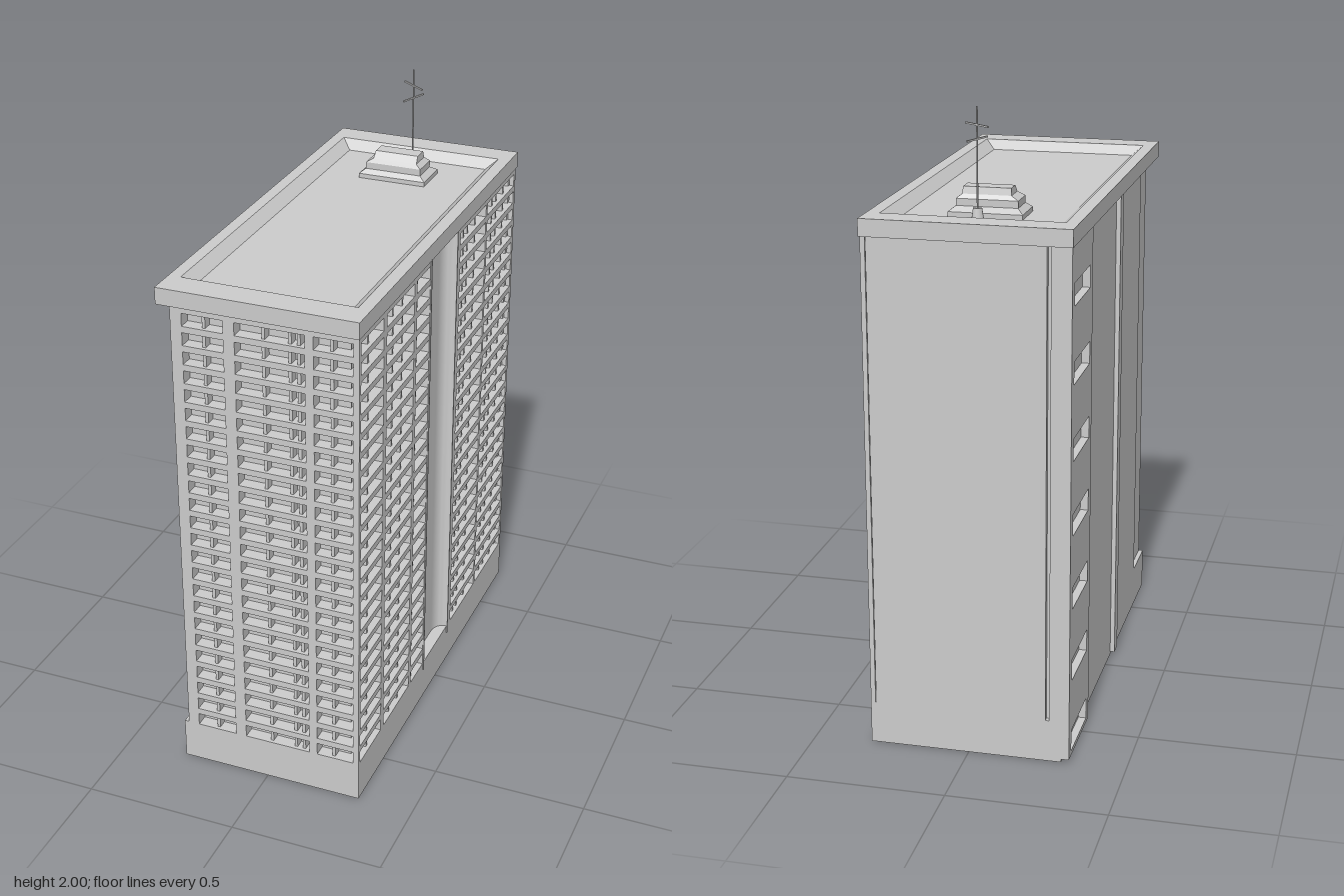
import * as THREE from 'three';
import { toCreasedNormals } from 'three/addons/utils/BufferGeometryUtils.js';

const material = new THREE.MeshStandardMaterial({ color: 0xcccccc });
const BASE = 0.137, TOP = 1.64, FLOORS = 24, PITCH = 0.0626, OPENING = 0.042;
const EAST = 0.317, FRONT = 0.722, BACK = -0.717, WEST = -0.295;

export function createModel() {
  const model = new THREE.Group();

  const add = (name, geometry, parent = model) => {
    const mesh = new THREE.Mesh(geometry, material);
    mesh.name = name;
    parent.add(mesh);
    return mesh;
  };
  // Box given by its limits on each axis
  const box = (name, x0, x1, y0, y1, z0, z1, parent) => {
    const g = new THREE.BoxGeometry(x1 - x0, y1 - y0, z1 - z0);
    g.translate((x0 + x1) / 2, (y0 + y1) / 2, (z0 + z1) / 2);
    return add(name, g, parent);
  };
  // Closed solid from stacked rectangles [x0, x1, z0, z1, y]
  const stack = (name, rings) => {
    const loops = rings.map(([x0, x1, z0, z1, y]) =>
      [[x0, y, z0], [x1, y, z0], [x1, y, z1], [x0, y, z1]]);
    const p = [];
    const quad = (a, b, c, d) => p.push(...a, ...b, ...c, ...a, ...c, ...d);
    for (let i = 0; i < loops.length - 1; i++) {
      const a = loops[i], b = loops[i + 1];
      for (let k = 0; k < 4; k++) {
        const n = (k + 1) % 4;
        quad(a[k], b[k], b[n], a[n]);
      }
    }
    const first = loops[0], last = loops[loops.length - 1];
    quad(first[0], first[1], first[2], first[3]);
    quad(last[3], last[2], last[1], last[0]);
    const g = new THREE.BufferGeometry();
    g.setAttribute('position', new THREE.Float32BufferAttribute(p, 3));
    g.computeVertexNormals();
    return add(name, g);
  };

  // Plinth, core and blank walls
  box('plinth', WEST, EAST, 0, BASE, BACK, FRONT);
  box('core', -0.275, 0.275, BASE, TOP, -0.7, 0.68);
  box('westWall', WEST, -0.27, BASE, TOP, -0.705, 0.535);
  box('westFrontWall', -0.28, -0.262, BASE, TOP, 0.535, FRONT);
  box('westRib', -0.31, WEST, 0.01, TOP, 0.086, 0.135);
  box('backWall', -0.245, 0.3, BASE, TOP, BACK, -0.69);
  box('backCornerPier', 0.302, EAST, BASE, TOP, BACK, -0.7);
  box('backWallEdge', WEST, -0.257, BASE, TOP, BACK, -0.69);

  // Balcony floors on both sides of the bay
  const floors = new THREE.Group();
  floors.name = 'balconyFloors';
  model.add(floors);
  for (let k = 1; k <= FLOORS; k++) {
    const y1 = k === FLOORS ? TOP : BASE + k * PITCH;
    const y0 = BASE + (k - 1) * PITCH + OPENING;
    box('frontFloor', -0.27, EAST, y0, y1, 0.127, FRONT, floors);
    box('backFloor', 0.2, EAST, y0, y1, -0.71, -0.116, floors);
  }

  // Full-depth piers and shallower mullions of the two open facades
  const eastPiers = [[0.503, 0.529], [0.127, 0.134], [-0.148, -0.116], [-0.419, -0.403]];
  const eastMullions = [0.624, 0.425, 0.345, 0.22, -0.21, -0.25, -0.325, -0.5, -0.545, -0.62];
  const frontPiers = [[-0.27, -0.243], [-0.11, -0.074], [0.148, 0.175]];
  const frontMullions = [-0.177, 0.013, 0.097, 0.125, 0.228];
  eastPiers.forEach(([a, b]) => box('eastPier', 0.27, EAST, BASE, TOP, a, b));
  box('eastPier', 0.27, EAST, BASE, TOP, 0.25, 0.272);
  eastMullions.forEach(z => box('eastMullion', 0.27, 0.305, BASE, TOP, z - 0.005, z + 0.005));
  frontPiers.forEach(([a, b]) => box('frontPier', a, b, BASE, TOP, 0.675, FRONT));
  frontMullions.forEach(x => box('frontMullion', x - 0.005, x + 0.005, BASE, TOP, 0.675, 0.71));
  box('cornerPost', 0.298, EAST, BASE, TOP, 0.708, FRONT);

  // Hollow bay with rounded inner corners, seen in plan as (x, z)
  const plan = new THREE.Shape();
  plan.moveTo(0.26, 0.127);
  plan.lineTo(0.315, 0.127);
  plan.lineTo(0.315, 0.122);
  plan.bezierCurveTo(0.29, 0.118, 0.277, 0.1, 0.277, 0.07);
  plan.lineTo(0.277, -0.06);
  plan.bezierCurveTo(0.277, -0.09, 0.29, -0.108, 0.315, -0.112);
  plan.lineTo(0.315, -0.116);
  plan.lineTo(0.26, -0.116);
  const bay = new THREE.ExtrudeGeometry(plan, { depth: TOP - BASE, bevelEnabled: false, curveSegments: 8 });
  bay.rotateX(Math.PI / 2);
  bay.translate(0, TOP, 0);
  add('hollowBay', toCreasedNormals(bay, 0.6));
  [0.127, -0.114].forEach(z => box('bayFin', 0.3, 0.32, 0.11, TOP, z - 0.003, z + 0.003));

  // Stair column with seven slots, drawn as (z, y)
  const rect = (path, a0, a1, y0, y1) => {
    path.moveTo(a0, y0);
    path.lineTo(a1, y0);
    path.lineTo(a1, y1);
    path.lineTo(a0, y1);
    path.closePath();
    return path;
  };
  const column = rect(new THREE.Shape(), BACK, -0.42, 0.01, TOP);
  for (let k = 0; k < 7; k++) {
    const y = 0.025 + k * 0.238;
    column.holes.push(rect(new THREE.Path(), -0.682, -0.455, y, y + 0.07));
  }
  const columnGeometry = new THREE.ExtrudeGeometry(column, { depth: 0.025, bevelEnabled: false });
  columnGeometry.rotateY(-Math.PI / 2);
  columnGeometry.translate(WEST, 0, 0);
  add('stairColumn', columnGeometry);

  // Roof slab with a sunken, sloped deck
  stack('roofSlab', [
    [-0.324, 0.319, -0.728, 0.726, 1.636],
    [-0.324, 0.319, -0.728, 0.726, 1.69],
    [-0.285, 0.278, -0.64, 0.632, 1.69],
    [-0.25, 0.243, -0.606, 0.597, 1.66],
  ]);

  // Stepped roof house
  stack('roofHouse', [
    [-0.124, 0.107, -0.51, -0.378, 1.65],
    [-0.124, 0.107, -0.51, -0.378, 1.675],
    [-0.105, 0.087, -0.487, -0.393, 1.69],
    [-0.105, 0.087, -0.487, -0.393, 1.712],
    [-0.082, 0.07, -0.477, -0.402, 1.725],
    [-0.08, 0.068, -0.472, -0.42, 1.747],
  ]);

  // Antenna: foot, mast and two crossbars
  const ax = 0.006, az = -0.54;
  add('antennaFoot', new THREE.CylinderGeometry(0.014, 0.02, 0.04, 12)).position.set(ax, 1.678, az);
  add('antennaMast', new THREE.CylinderGeometry(0.0025, 0.0025, 0.32, 6)).position.set(ax, 1.84, az);
  [[1.945, 0.042, 0.031], [1.903, -0.018, 0.048]].forEach(([y, dx, dz]) => {
    const bar = box('antennaBar', -0.0025, 0.0025, -0.0025, 0.0025, -Math.hypot(dx, dz), Math.hypot(dx, dz));
    bar.position.set(ax, y, az);
    bar.rotation.y = Math.atan2(dx, dz);
  });

  return model;
}
